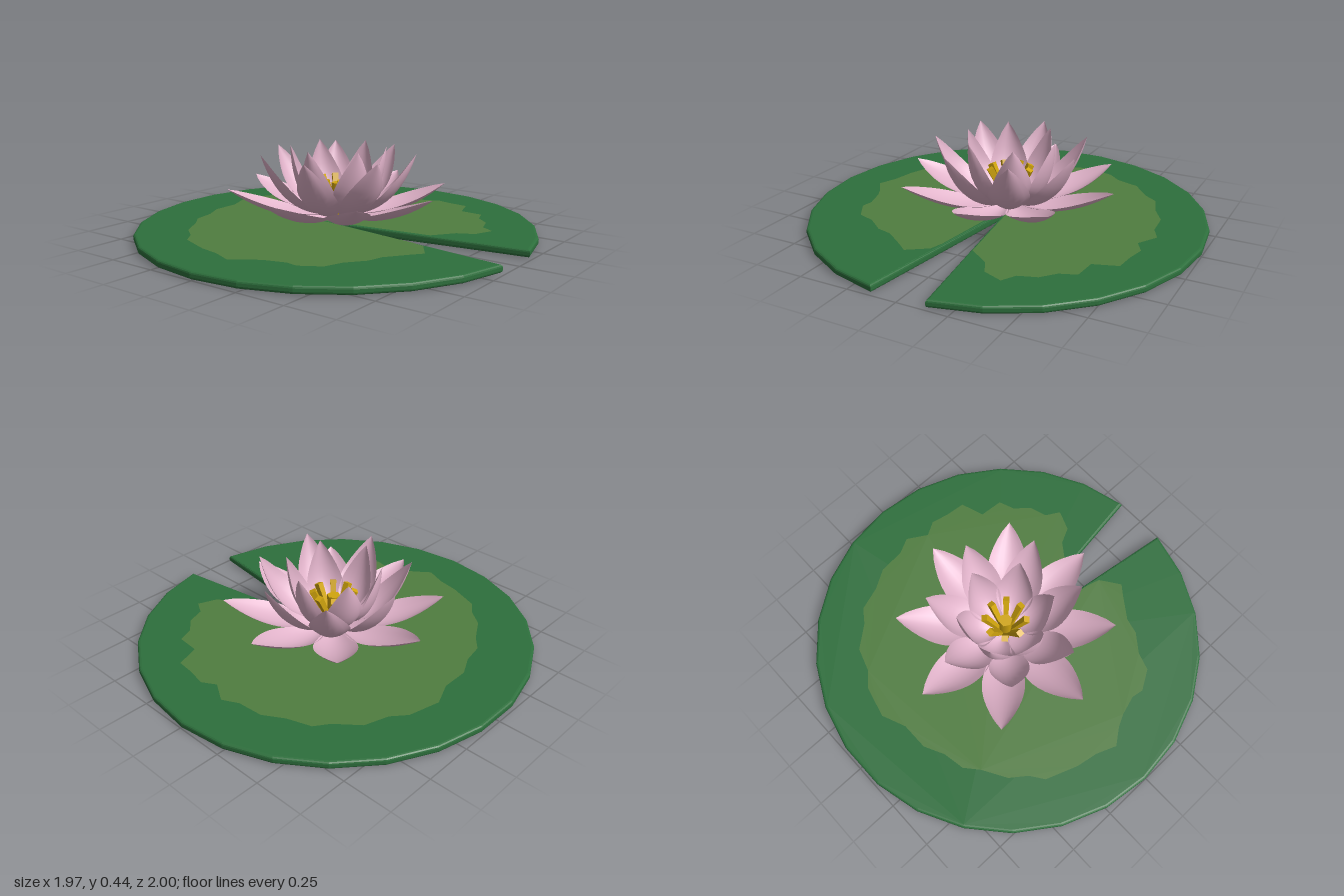
import * as THREE from 'three';

const mat = (name, color, side = THREE.FrontSide) => {
  const m = new THREE.MeshStandardMaterial({ color, side });
  m.name = name;
  return m;
};

// Cupped petal growing along +x: a spine curve with a width and cup rule.
function petalGeometry(spine, width, cup) {
  const [a, b, c] = spine.map(([x, y]) => new THREE.Vector2(x, y));
  const curve = new THREE.QuadraticBezierCurve(a, b, c);
  const g = new THREE.PlaneGeometry(1, 1, 8, 14);
  const pos = g.attributes.position;
  for (let i = 0; i < pos.count; i++) {
    const s = pos.getX(i) * 2;
    const t = pos.getY(i) + 0.5;
    const p = curve.getPoint(t);
    const tan = curve.getTangent(t);
    const w = Math.pow(Math.sin(Math.PI * Math.pow(t, 1.15)), 0.8) || 0;
    const lift = cup * s * s * w;
    pos.setXYZ(i, p.x - tan.y * lift, p.y + tan.x * lift, -s * w * width / 2);
  }
  // Plane runs across then along, so turn the winding to face the inside
  const idx = g.index.array;
  for (let i = 0; i < idx.length; i += 3) [idx[i + 1], idx[i + 2]] = [idx[i + 2], idx[i + 1]];
  // Keep the upper face as the front
  const n0 = new THREE.Vector3(), A = new THREE.Vector3(), B = new THREE.Vector3(), C = new THREE.Vector3();
  const k = 6 * (8 * 7 + 4);
  A.fromBufferAttribute(pos, idx[k]); B.fromBufferAttribute(pos, idx[k + 1]); C.fromBufferAttribute(pos, idx[k + 2]);
  n0.crossVectors(B.sub(A), C.sub(A));
  if (n0.y < 0) for (let i = 0; i < idx.length; i += 3) [idx[i + 1], idx[i + 2]] = [idx[i + 2], idx[i + 1]];
  g.computeVertexNormals();
  return g;
}

// Outline of the pale patch as [x, z], clockwise seen from above
const patchOutline = [
  [-0.1, 0], [0.5, 0.08], [0.57, 0.1], [0.64, 0.2], [0.6, 0.25], [0.52, 0.36], [0.5, 0.44], [0.43, 0.53],
  [0.4, 0.62], [0.3, 0.68], [0.24, 0.67], [0.14, 0.7], [0.08, 0.73], [0, 0.79], [-0.1, 0.75], [-0.21, 0.73],
  [-0.37, 0.67], [-0.42, 0.6], [-0.5, 0.54], [-0.57, 0.42], [-0.63, 0.35], [-0.65, 0.24], [-0.7, 0.14],
  [-0.7, 0], [-0.75, -0.12], [-0.71, -0.28], [-0.65, -0.35], [-0.61, -0.47], [-0.5, -0.56], [-0.45, -0.63],
  [-0.33, -0.67], [-0.23, -0.73], [-0.1, -0.74], [-0.02, -0.78], [0.08, -0.72], [0.15, -0.76], [0.24, -0.74],
  [0.34, -0.73], [0.38, -0.61], [0.5, -0.6], [0.53, -0.52], [0.6, -0.46], [0.63, -0.37], [0.7, -0.33],
  [0.66, -0.23], [0.58, -0.19], [0.5, -0.08],
];

export function createModel() {
  const model = new THREE.Group();
  model.name = 'waterLily';
  const padGreen = mat('leaf green', 0x2d6f3c);
  const patchGreen = mat('pale leaf green', 0x507d40);
  const pink = mat('petal pink', 0xe0b2c9, THREE.DoubleSide);
  const yellow = mat('stamen yellow', 0xd2a60e);

  const add = (parent, name, geometry, material) => {
    const mesh = new THREE.Mesh(geometry, material);
    mesh.name = name;
    parent.add(mesh);
    return mesh;
  };

  // Notched pad with a rounded rim
  const rim = [new THREE.Vector2(0, 0)];
  const notch = THREE.MathUtils.degToRad(7.8);
  for (let i = 0; i <= 25; i++) {
    const a = notch + (i / 25) * (Math.PI * 2 - notch * 2);
    rim.push(new THREE.Vector2(Math.cos(a) * 0.995, Math.sin(a)));
  }
  const padGeometry = new THREE.ExtrudeGeometry(new THREE.Shape(rim), {
    depth: 0.014, bevelThickness: 0.012, bevelSize: 0.014, bevelOffset: -0.014, bevelSegments: 3,
  });
  padGeometry.rotateX(-Math.PI / 2).translate(0, 0.014, 0);
  add(model, 'lilyPad', padGeometry, padGreen);

  // Pale patch on both faces of the pad
  const patch = (sign) => new THREE.ShapeGeometry(
    new THREE.Shape(patchOutline.map(([x, z]) => new THREE.Vector2(x, -sign * z))));
  add(model, 'upperPatch', patch(1).rotateX(-Math.PI / 2).translate(0, 0.042, 0), patchGreen);
  add(model, 'lowerPatch', patch(-1).rotateX(Math.PI / 2), patchGreen);

  // Three rings of petals
  const flower = new THREE.Group();
  flower.name = 'flower';
  flower.position.z = -0.015;
  model.add(flower);
  const rings = [
    { name: 'outerPetal', count: 8, start: 0, spine: [[0.02, 0.09], [0.29, 0.04], [0.55, 0.23]], width: 0.215, cup: 0.04 },
    { name: 'middlePetal', count: 7, start: Math.PI, spine: [[0.02, 0.09], [0.29, 0.08], [0.39, 0.405]], width: 0.2, cup: 0.045 },
    { name: 'innerPetal', count: 6, start: Math.PI / 2, spine: [[0.02, 0.1], [0.23, 0.1], [0.24, 0.435]], width: 0.19, cup: 0.045 },
  ];
  for (const { name, count, start, spine, width, cup } of rings) {
    const geometry = petalGeometry(spine, width, cup);
    for (let i = 0; i < count; i++) {
      add(flower, name, geometry, pink).rotation.y = -(start + (i / count) * Math.PI * 2);
    }
  }

  // Core and splayed stamens
  add(flower, 'core', new THREE.CylinderGeometry(0.034, 0.03, 0.2, 6).translate(0, 0.15, 0), yellow);
  const foot = new THREE.Vector3(0.02, 0.1, 0);
  const tip = new THREE.Vector3(0.105, 0.275, 0);
  const along = tip.clone().sub(foot);
  const stamen = new THREE.CylinderGeometry(0.022, 0.013, along.length(), 4);
  stamen.rotateY(Math.PI / 4);
  stamen.rotateZ(-Math.atan2(along.x, along.y));
  stamen.translate((foot.x + tip.x) / 2, (foot.y + tip.y) / 2, 0);
  const stamenFlat = stamen.toNonIndexed();
  stamenFlat.computeVertexNormals();
  for (let i = 0; i < 8; i++) {
    add(flower, 'stamen', stamenFlat, yellow).rotation.y = (i / 8) * Math.PI * 2;
  }
  return model;
}
